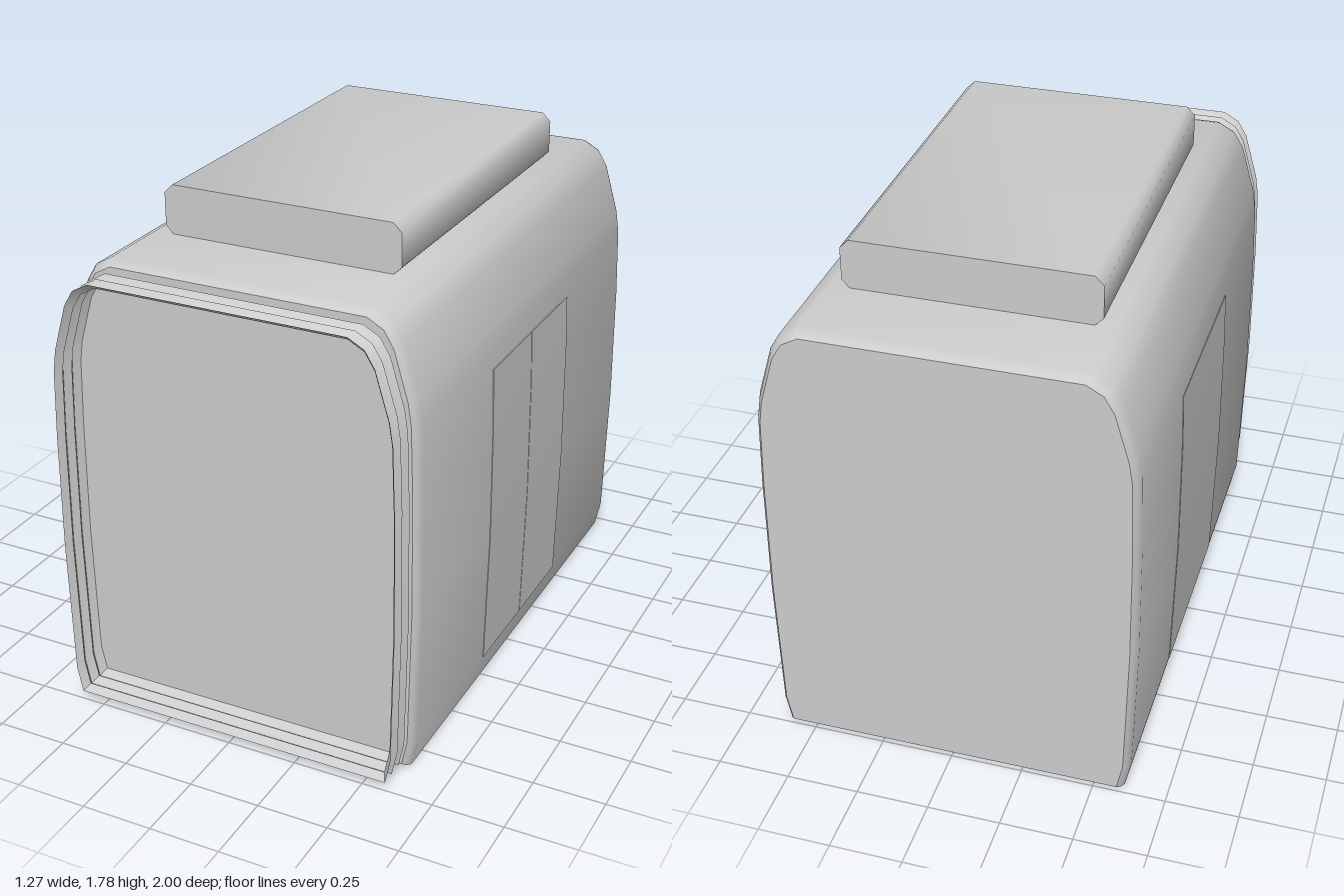
import * as THREE from 'three';
import { toCreasedNormals } from 'three/addons/utils/BufferGeometryUtils.js';

// Right half of the carriage cross-section, bottom to top
const HALF = [[0.602, 0.005], [0.622, 0.1], [0.633, 0.6], [0.63, 1.03], [0.622, 1.28],
  [0.61, 1.36], [0.56, 1.53], [0.525, 1.588], [0.467, 1.62]];
const SECTION = [...HALF, ...HALF.slice().reverse().map(([x, y]) => [-x, y])];
const MID = 0.8125;

// Cross-section scaled about its middle
const ring = (sx, sy) => SECTION.map(([x, y]) => [x * sx, MID + (y - MID) * sy]);

// Skin through stations of [z, scaleX, scaleY], ordered back to front
function loft(stations) {
  const pos = [], idx = [], n = SECTION.length;
  stations.forEach(([z, sx, sy], i) => {
    ring(sx, sy).forEach(([x, y], j) => {
      pos.push(x, y, z);
      if (i + 1 < stations.length) {
        const a = i * n + j, b = i * n + (j + 1) % n;
        idx.push(a, b, b + n, a, b + n, a + n);
      }
    });
  });
  const g = new THREE.BufferGeometry();
  g.setAttribute('position', new THREE.Float32BufferAttribute(pos, 3));
  g.setIndex(idx);
  return toCreasedNormals(g, 0.75);
}

const outline = (pts) => new THREE.Shape(pts.map(([x, y]) => new THREE.Vector2(x, y)));

export function createModel() {
  const model = new THREE.Group();
  const grey = new THREE.MeshStandardMaterial({ color: 0xcccccc });
  grey.name = 'light grey';
  const greySheet = new THREE.MeshStandardMaterial({ color: 0xcccccc, side: THREE.DoubleSide });
  greySheet.name = 'light grey sheet';

  const add = (name, geometry, material = grey) => {
    const mesh = new THREE.Mesh(geometry, material);
    mesh.name = name;
    model.add(mesh);
    return mesh;
  };

  // Body shell with softened ends
  add('bodyShell', loft([[-1, 0.966, 0.978], [-0.985, 0.985, 0.99], [-0.96, 1, 1],
    [0.835, 1, 1], [0.858, 0.985, 0.99], [0.87, 0.966, 0.978]]));

  // Flat end walls
  const wall = new THREE.ShapeGeometry(outline(ring(0.966, 0.978)));
  add('frontWall', wall).position.z = 0.87;
  const back = add('backWall', wall);
  back.position.z = -1;
  back.rotation.y = Math.PI;

  // Open pleated gangway at the front
  const pleats = [];
  for (let i = 0; i < 6; i++) {
    const s = i % 2 ? 0.968 : 0.943;
    pleats.push([0.87 + i * 0.026, s, s - 0.006]);
  }
  add('gangwayBellows', loft(pleats), greySheet);

  // Roof equipment box with chamfered long edges
  const w = 0.425, c = 0.03, y0 = 1.617, y1 = 1.79;
  const box = new THREE.ExtrudeGeometry(outline([
    [-w + c, y0], [w - c, y0], [w, y0 + c], [w, y1 - c],
    [w - c, y1], [-w + c, y1], [-w, y1 - c], [-w, y0 + c]]), { depth: 1.265, bevelEnabled: false });
  add('roofUnit', toCreasedNormals(box, 0.9)).position.z = -0.695;

  // Thin door panels following the curve of the side wall
  const curve = [[0.622, 0.1], [0.633, 0.6], [0.63, 1.03], [0.624, 1.22]];
  const door = (name, side, zMin, zMax) => {
    const pts = [
      ...curve.map(([x, y]) => [side * (x + 0.002), y]),
      ...curve.slice().reverse().map(([x, y]) => [side * (x - 0.004), y])];
    const g = new THREE.ExtrudeGeometry(outline(pts), { depth: zMax - zMin, bevelEnabled: false });
    add(name, toCreasedNormals(g, 0.6)).position.z = zMin;
  };
  door('leftDoorFrontLeaf', 1, -0.058, 0.28);
  door('leftDoorRearLeaf', 1, -0.405, -0.062);
  door('rightSidePanel', -1, -0.405, 0.28);

  return model;
}
